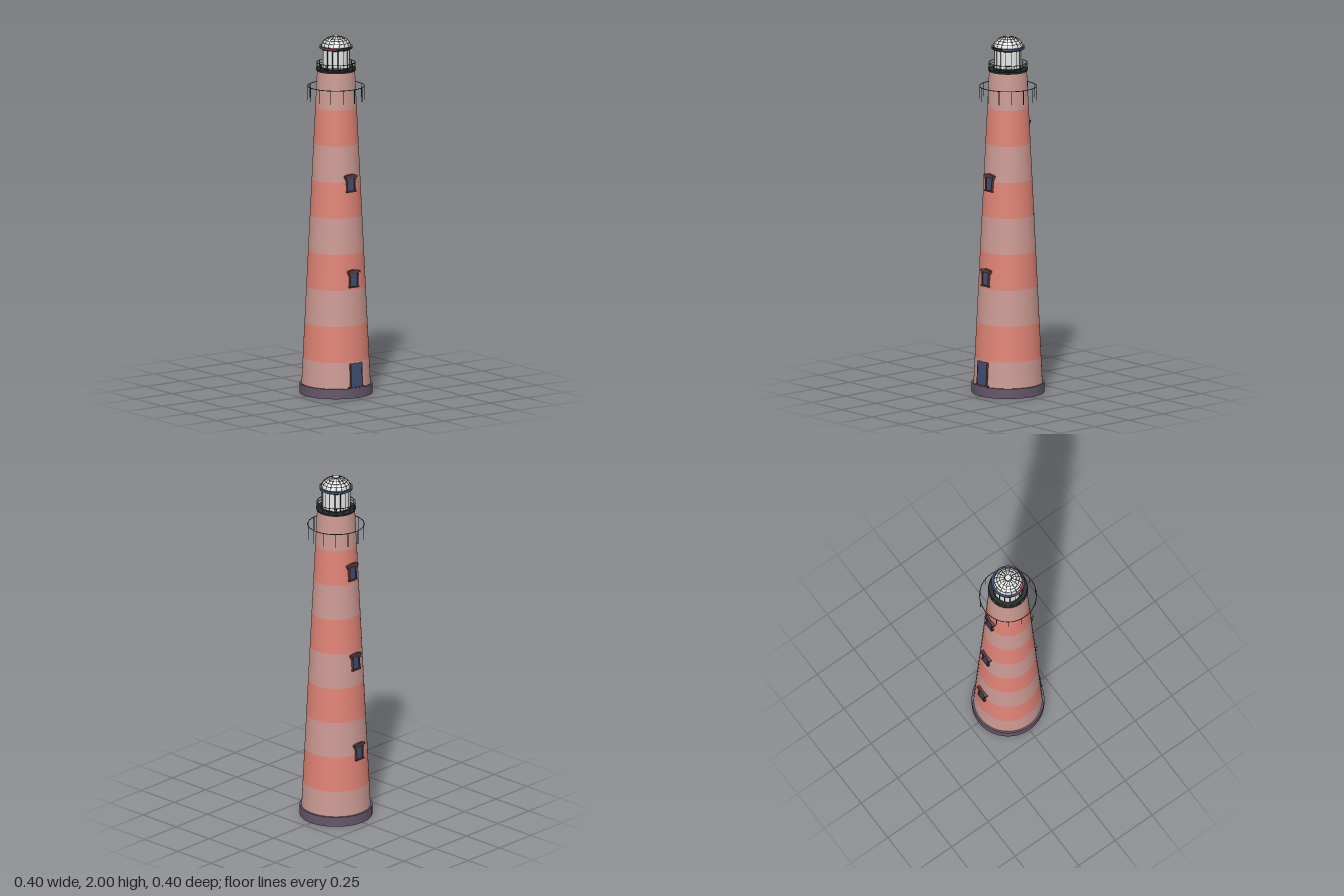
import * as THREE from 'three';

const mat = (name, color) => {
  const m = new THREE.MeshStandardMaterial({ color });
  m.name = name;
  return m;
};

export function createModel() {
  const root = new THREE.Group();
  root.name = 'lighthouse';
  const pale = mat('pale rose', 0xcc9a93), red = mat('coral red', 0xe08376);
  const stone = mat('purple stone', 0x64566a), iron = mat('black iron', 0x282b2b);
  const rail = mat('rail grey', 0x3c4642), glass = mat('white glass', 0xe9ebe8);
  const blue = mat('slate blue', 0x3c4f74), brown = mat('dark brown', 0x58393b);
  const pink = mat('crimson', 0x9c2c58);

  const add = (name, geo, material, parent = root, x = 0, y = 0, z = 0) => {
    const m = new THREE.Mesh(geo, material);
    m.name = name;
    m.position.set(x, y, z);
    parent.add(m);
    return m;
  };
  const box = (name, w, h, d, material, parent, x, y, z) =>
    add(name, new THREE.BoxGeometry(w, h, d), material, parent, x, y, z);
  const drum = (name, r0, r1, y0, y1, material, open = false) =>
    add(name, new THREE.CylinderGeometry(r1, r0, y1 - y0, 64, 1, open), material, root, 0, (y0 + y1) / 2);
  const hoop = (name, r, y, t, material) => {
    const m = add(name, new THREE.TorusGeometry(r, t, 6, 64), material, root, 0, y);
    m.rotation.x = Math.PI / 2;
  };
  const posts = (name, n, r, y0, y1, t, material, phase = 0) => {
    for (let i = 0; i < n; i++) {
      const a = phase + (i / n) * Math.PI * 2;
      add(name, new THREE.CylinderGeometry(t, t, y1 - y0, 6), material, root,
        r * Math.cos(a), (y0 + y1) / 2, r * Math.sin(a));
    }
  };

  // Plinth and tapered, banded tower
  drum('plinth', 0.2, 0.2, 0, 0.055, stone);
  const Y0 = 0.055, Y1 = 1.81, R0 = 0.19, R1 = 0.104;
  const radius = (y) => R0 + ((R1 - R0) * (y - Y0)) / (Y1 - Y0);
  const tilt = Math.atan((R0 - R1) / (Y1 - Y0));
  const levels = [Y0, 0.2, 0.4, 0.6, 0.8, 1, 1.2, 1.4, 1.6, Y1];
  for (let i = 0; i < levels.length - 1; i++) {
    drum('towerBand', radius(levels[i]), radius(levels[i + 1]), levels[i], levels[i + 1], i % 2 ? red : pale, true);
  }

  // Groups that lie on the sloping wall, side 1 = front, -1 = back
  const onWall = (name, y, side) => {
    const pivot = new THREE.Group();
    pivot.name = name;
    pivot.rotation.y = side > 0 ? 0 : Math.PI;
    const g = new THREE.Group();
    g.position.set(0, y, radius(y));
    g.rotation.x = -tilt;
    pivot.add(g);
    root.add(pivot);
    return g;
  };

  // Windows with jambs, sill and bowed hood
  const hoodShape = new THREE.Shape();
  hoodShape.moveTo(-0.039, 0);
  hoodShape.quadraticCurveTo(0, 0.014, 0.039, 0);
  hoodShape.lineTo(0.039, 0.012);
  hoodShape.quadraticCurveTo(0, 0.026, -0.039, 0.012);
  const hoodGeo = new THREE.ExtrudeGeometry(hoodShape, { depth: 0.02, bevelEnabled: false, curveSegments: 8 });
  const addWindow = (y, side) => {
    const g = onWall('window', y, side);
    box('windowPane', 0.042, 0.08, 0.014, blue, g, 0, -0.005, -0.002);
    for (const s of [-1, 1]) {
      box('windowJamb', 0.007, 0.085, 0.02, brown, g, s * 0.024, -0.006, 0);
      box('hoodBracket', 0.01, 0.016, 0.022, brown, g, s * 0.028, 0.024, 0);
    }
    box('windowSill', 0.062, 0.008, 0.024, brown, g, 0, -0.048, 0);
    box('windowLintel', 0.058, 0.012, 0.021, brown, g, 0, 0.032, 0);
    add('windowHood', hoodGeo, brown, g, 0, 0.029, -0.006);
  };
  for (const y of [0.665, 1.195]) addWindow(y, 1);
  for (const y of [0.42, 0.945, 1.47]) addWindow(y, -1);

  // Door
  const door = onWall('door', 0.125, 1);
  box('doorPanel', 0.07, 0.128, 0.018, blue, door, 0, 0, -0.004);
  for (const s of [-1, 1]) box('doorJamb', 0.005, 0.13, 0.022, brown, door, s * 0.037, 0, -0.004);
  box('doorLintel', 0.08, 0.005, 0.022, stone, door, 0, 0.065, -0.004);
  box('doorStep', 0.1, 0.008, 0.024, brown, door, 0, -0.066, -0.003);

  // Lower ring with hanging rods
  hoop('lowerRing', 0.156, 1.718, 0.0022, rail);
  posts('lowerRod', 14, 0.156, 1.64, 1.718, 0.0018, rail, 0.15);

  // Gallery deck and railing
  drum('galleryDeck', 0.106, 0.111, 1.803, 1.816, iron);
  hoop('galleryRail', 0.106, 1.85, 0.002, rail);
  hoop('galleryMidRail', 0.106, 1.833, 0.0014, rail);
  posts('galleryPost', 16, 0.106, 1.814, 1.85, 0.0018, rail);

  // Lantern room
  drum('lanternGlass', 0.077, 0.077, 1.812, 1.936, glass);
  posts('lanternMullion', 16, 0.077, 1.814, 1.932, 0.002, iron, 0.1);
  hoop('lanternFoot', 0.078, 1.82, 0.004, iron);
  hoop('lanternHead', 0.079, 1.926, 0.003, iron);

  // Eaves ring in coloured sectors; angles run from +x towards +z
  const eave = (name, a0, a1, material) => {
    const s = new THREE.Shape();
    s.absarc(0, 0, 0.092, a0, a1, false);
    s.absarc(0, 0, 0.074, a1, a0, true);
    const geo = new THREE.ExtrudeGeometry(s, { depth: 0.012, bevelEnabled: false, curveSegments: 32 });
    geo.rotateX(Math.PI / 2);
    add(name, geo, material, root, 0, 1.942);
  };
  eave('greyEave', 0.56, 1.03, stone);
  eave('frontEave', 1.03, 2.18, iron);
  eave('crimsonEave', 2.18, 2.92, pink);
  eave('leftEave', 2.92, 3.4, stone);
  eave('blueEave', 3.4, 6.84, blue);

  // Glazed dome with ribs, hoops and cap
  const DR = 0.081, DH = 0.056, DY = 1.94;
  const arc = (a) => [DR * Math.cos(a), DY + DH * Math.sin(a)];
  const profile = [];
  for (let i = 0; i <= 12; i++) profile.push(new THREE.Vector2(...arc((i / 12) * Math.PI / 2)));
  profile[12].x = 0;
  add('dome', new THREE.LatheGeometry(profile, 48), glass);
  const ribPts = [];
  for (let i = 0; i <= 6; i++) {
    const [r, y] = arc((i / 6) * 1.33);
    ribPts.push(new THREE.Vector3(r, y, 0));
  }
  const ribGeo = new THREE.TubeGeometry(new THREE.CatmullRomCurve3(ribPts), 12, 0.0015, 5);
  for (let i = 0; i < 16; i++) {
    add('domeRib', ribGeo, iron).rotation.y = (i / 16) * Math.PI * 2;
  }
  for (const a of [0.02, 0.4, 0.7, 0.97]) {
    const [r, y] = arc(a);
    hoop('domeHoop', r, y, 0.0015, iron);
  }
  hoop('capRing', 0.019, 1.995, 0.0025, iron);
  drum('cap', 0.017, 0.016, 1.992, 2, glass);

  return root;
}
